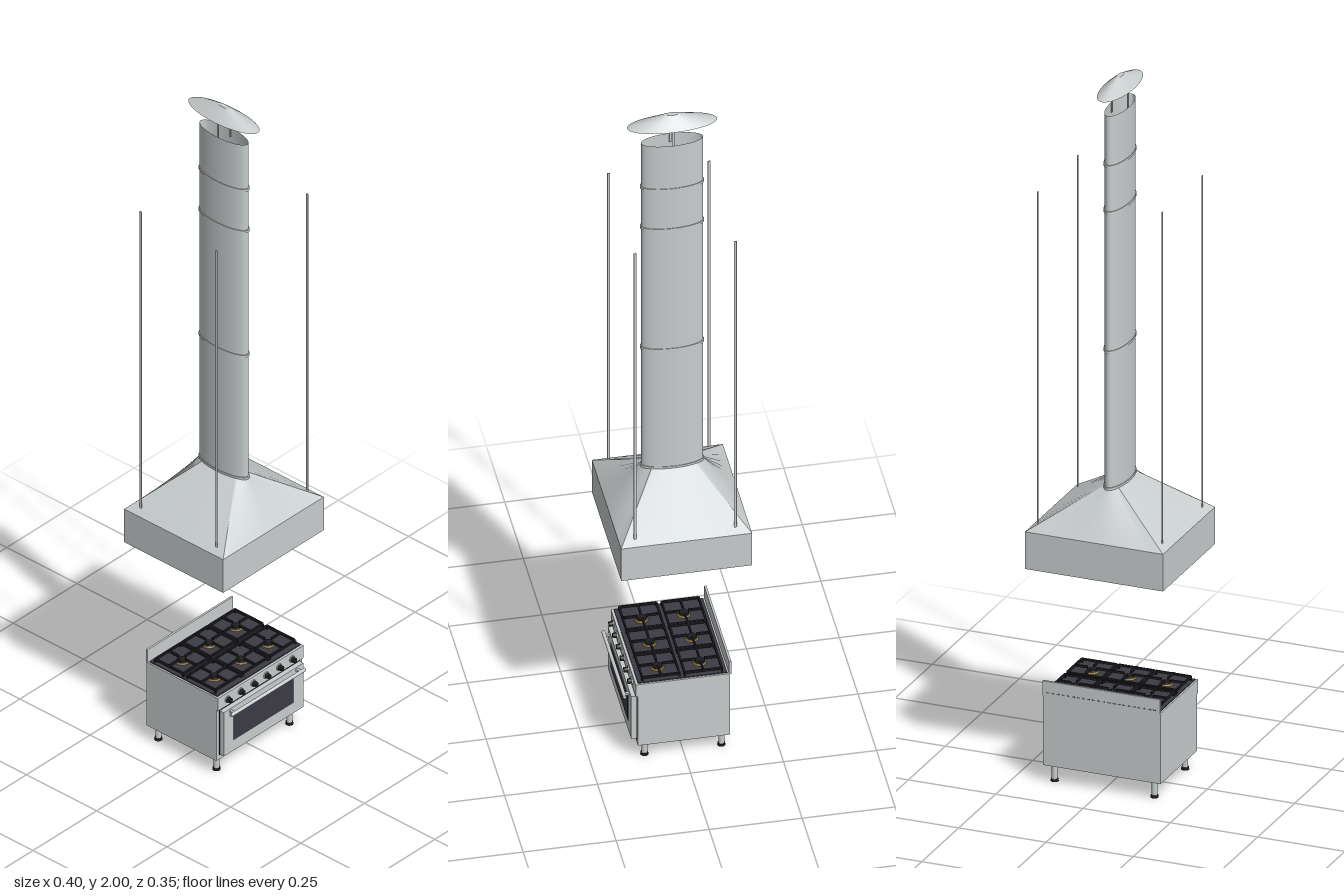
import * as THREE from 'three';

const mat = (name, color) => {
  const m = new THREE.MeshStandardMaterial({ color });
  m.name = name;
  return m;
};

export function createModel() {
  const steel = mat('brushed steel', 0xc8cdcd);
  const lightSteel = mat('light steel', 0xe6eaea);
  const darkSteel = mat('dark steel', 0x6a6d6f);
  const black = mat('black enamel', 0x1d1d20);
  const glass = mat('oven glass', 0x3c3a44);
  const brass = mat('brass', 0xa8893c);
  const tubeSteel = steel.clone();
  tubeSteel.name = 'open duct steel';
  tubeSteel.side = THREE.DoubleSide;

  const root = new THREE.Group();
  const hood = new THREE.Group();
  hood.name = 'extractorHood';
  const stove = new THREE.Group();
  stove.name = 'rangeCooker';
  root.add(hood, stove);

  const add = (parent, name, geo, material, x = 0, y = 0, z = 0) => {
    const m = new THREE.Mesh(geo, material);
    m.name = name;
    m.position.set(x, y, z);
    parent.add(m);
    return m;
  };
  // box given by its min and max on each axis
  const box = (parent, name, material, x0, x1, y0, y1, z0, z1) =>
    add(parent, name, new THREE.BoxGeometry(x1 - x0, y1 - y0, z1 - z0), material,
      (x0 + x1) / 2, (y0 + y1) / 2, (z0 + z1) / 2);
  // upright cylinder with an elliptical section
  const oval = (rTop, rBottom, y0, y1, rx, rz, open = false, seg = 40) =>
    new THREE.CylinderGeometry(rTop, rBottom, y1 - y0, seg, 1, open)
      .scale(rx, 1, rz).translate(0, (y0 + y1) / 2, 0);

  // ---- Hood skirt: four walls around a slightly recessed underside
  const HX = 0.1975, HZ = 0.176, Y0 = 0.624, Y1 = 0.73, T = 0.004;
  for (const s of [-1, 1]) {
    const zs = [s * HZ, s * (HZ - T)].sort((a, b) => a - b);
    const xs = [s * HX, s * (HX - T)].sort((a, b) => a - b);
    box(hood, 'skirtLong', steel, -HX, HX, Y0, Y1, ...zs);
    box(hood, 'skirtShort', steel, ...xs, Y0, Y1, -HZ + T, HZ - T);
  }
  box(hood, 'underside', lightSteel, -HX + T, HX - T, 0.63, 0.634, -HZ + T, HZ - T);

  // filter panels with rows of slots
  for (let p = 0; p < 3; p++) {
    const cx = (p - 1) * 0.108;
    box(hood, 'filterFrame', darkSteel, cx - 0.052, cx + 0.052, 0.6285, 0.6305, -0.13, 0.09);
    box(hood, 'filterPanel', lightSteel, cx - 0.051, cx + 0.051, 0.6275, 0.6305, -0.129, 0.089);
    for (let r = 0; r < 5; r++)
      for (let c = 0; c < 5; c++) {
        const x = cx + (c - 2) * 0.018, z = -0.108 + r * 0.044;
        box(hood, 'filterSlot', darkSteel, x - 0.004, x + 0.004, 0.627, 0.628, z - 0.0015, z + 0.0015);
      }
  }
  for (const x of [-0.1, 0, 0.1])
    box(hood, 'lampSlot', black, x - 0.018, x + 0.018, 0.628, 0.631, 0.128, 0.138);

  // ---- Hood canopy: each side lofts from a straight edge to a quarter of the oval
  const RX = 0.028, RZ = 0.083, YT = 0.848, N = 12;
  for (let side = 0; side < 4; side++) {
    const pos = [], idx = [];
    for (let i = 0; i <= N; i++) {
      const a = side * Math.PI / 2 + (i / N - 0.5) * Math.PI / 2;
      const c = Math.cos(a), s = Math.sin(a), k = Math.max(Math.abs(c), Math.abs(s));
      pos.push(HX * c / k, Y1, HZ * s / k, RX * c, YT, RZ * s);
      if (i < N) {
        const b = i * 2;
        idx.push(b, b + 1, b + 2, b + 2, b + 1, b + 3);
      }
    }
    const g = new THREE.BufferGeometry();
    g.setAttribute('position', new THREE.Float32BufferAttribute(pos, 3));
    g.setIndex(idx);
    g.computeVertexNormals();
    add(hood, 'canopySide', g, tubeSteel);
  }

  // ---- Oval duct, joint rings and rain cap
  add(hood, 'duct', oval(1, 1, 0.845, 1.915, RX, RZ, true, 48), tubeSteel);
  const ringOutline = new THREE.Shape().absellipse(0, 0, RX + 0.0015, RZ + 0.0035, 0, Math.PI * 2);
  ringOutline.holes.push(new THREE.Path().absellipse(0, 0, RX - 0.0005, RZ - 0.001, 0, Math.PI * 2));
  const ringGeo = new THREE.ExtrudeGeometry(ringOutline, { depth: 0.007, bevelEnabled: false, curveSegments: 40 })
    .rotateX(-Math.PI / 2);
  for (const y of [0.846, 1.237, 1.635, 1.767])
    add(hood, 'jointRing', ringGeo, steel, 0, y, 0);
  for (const s of [-1, 1])
    box(hood, 'capPost', steel, s * 0.023 - 0.001, s * 0.023 + 0.001, 1.89, 1.973, -0.003, 0.003);
  add(hood, 'rainCap', oval(0.17, 1, 1.969, 2.0, 0.042, 0.121), steel);

  // ---- Hanging rods
  for (const x of [-0.178, 0.178])
    for (const z of [-0.135, 0.135])
      add(hood, 'hangingRod', oval(1, 1, 0.735, 1.69, 0.0013, 0.0037, false, 12), steel, x, 0, z);

  // ---- Cooker body
  const W = 0.168;
  box(stove, 'body', steel, -W, W, 0.048, 0.25, -0.123, 0.125);
  box(stove, 'backsplash', steel, -W, W, 0.248, 0.29, -0.126, -0.12);
  for (let i = 0; i < 22; i++) {
    const x = -0.152 + i * 0.0145;
    box(stove, 'rearVent', darkSteel, x - 0.004, x + 0.004, 0.256, 0.259, -0.1268, -0.1255);
  }
  box(stove, 'controlPanel', steel, -W, W, 0.21, 0.25, 0.125, 0.131);
  box(stove, 'hob', glass, -0.163, 0.163, 0.25, 0.253, -0.116, 0.124);

  // legs with dark feet
  for (const x of [-0.143, 0.143])
    for (const z of [-0.104, 0.103]) {
      add(stove, 'leg', new THREE.CylinderGeometry(0.008, 0.008, 0.044, 20), steel, x, 0.028, z);
      add(stove, 'foot', new THREE.CylinderGeometry(0.01, 0.011, 0.007, 20), black, x, 0.0035, z);
    }

  // oven door, window and handle
  box(stove, 'doorGap', black, -0.158, 0.158, 0.062, 0.207, 0.124, 0.127);
  box(stove, 'ovenDoor', steel, -0.156, 0.156, 0.064, 0.204, 0.126, 0.141);
  box(stove, 'windowFrame', darkSteel, -0.118, 0.118, 0.097, 0.179, 0.14, 0.1418);
  box(stove, 'ovenWindow', glass, -0.116, 0.116, 0.099, 0.177, 0.14, 0.1426);
  add(stove, 'doorHandle', new THREE.CylinderGeometry(0.005, 0.005, 0.29, 16).rotateZ(Math.PI / 2),
    steel, 0, 0.196, 0.156);
  for (const x of [-0.13, 0.13])
    box(stove, 'handleBracket', steel, x - 0.004, x + 0.004, 0.193, 0.199, 0.14, 0.156);

  // control knobs
  for (let i = 0; i < 6; i++) {
    const x = -0.131 + i * 0.0505;
    add(stove, 'knobRing', new THREE.CylinderGeometry(0.01, 0.01, 0.003, 20).rotateX(Math.PI / 2),
      steel, x, 0.23, 0.132);
    add(stove, 'knob', new THREE.CylinderGeometry(0.007, 0.008, 0.012, 20).rotateX(Math.PI / 2),
      black, x, 0.23, 0.138);
  }

  // burners with cast grates
  for (let i = 0; i < 3; i++)
    for (let j = 0; j < 2; j++) {
      const x = (i - 1) * 0.106, z = 0.004 + (j - 0.5) * 0.114;
      add(stove, 'burnerRing', new THREE.CylinderGeometry(0.016, 0.018, 0.004, 24), brass, x, 0.255, z);
      add(stove, 'burnerCap', new THREE.CylinderGeometry(0.013, 0.0145, 0.004, 24), black, x, 0.259, z);
      const h = 0.05, t = 0.0025;
      for (const s of [-1, 1]) {
        box(stove, 'grateRail', black, x - h, x + h, 0.26, 0.266, z + s * h - t, z + s * h + t);
        box(stove, 'grateRail', black, x + s * h - t, x + s * h + t, 0.26, 0.266, z - h, z + h);
        const a = s * 0.012, b = s * h;
        box(stove, 'grateFinger', black, Math.min(x + a, x + b), Math.max(x + a, x + b), 0.262, 0.268, z - t, z + t);
        box(stove, 'grateFinger', black, x - t, x + t, 0.262, 0.268, Math.min(z + a, z + b), Math.max(z + a, z + b));
        for (const q of [-1, 1])
          box(stove, 'grateFoot', black, x + s * h - t, x + s * h + t, 0.252, 0.262, z + q * h - t, z + q * h + t);
      }
    }

  return root;
}
